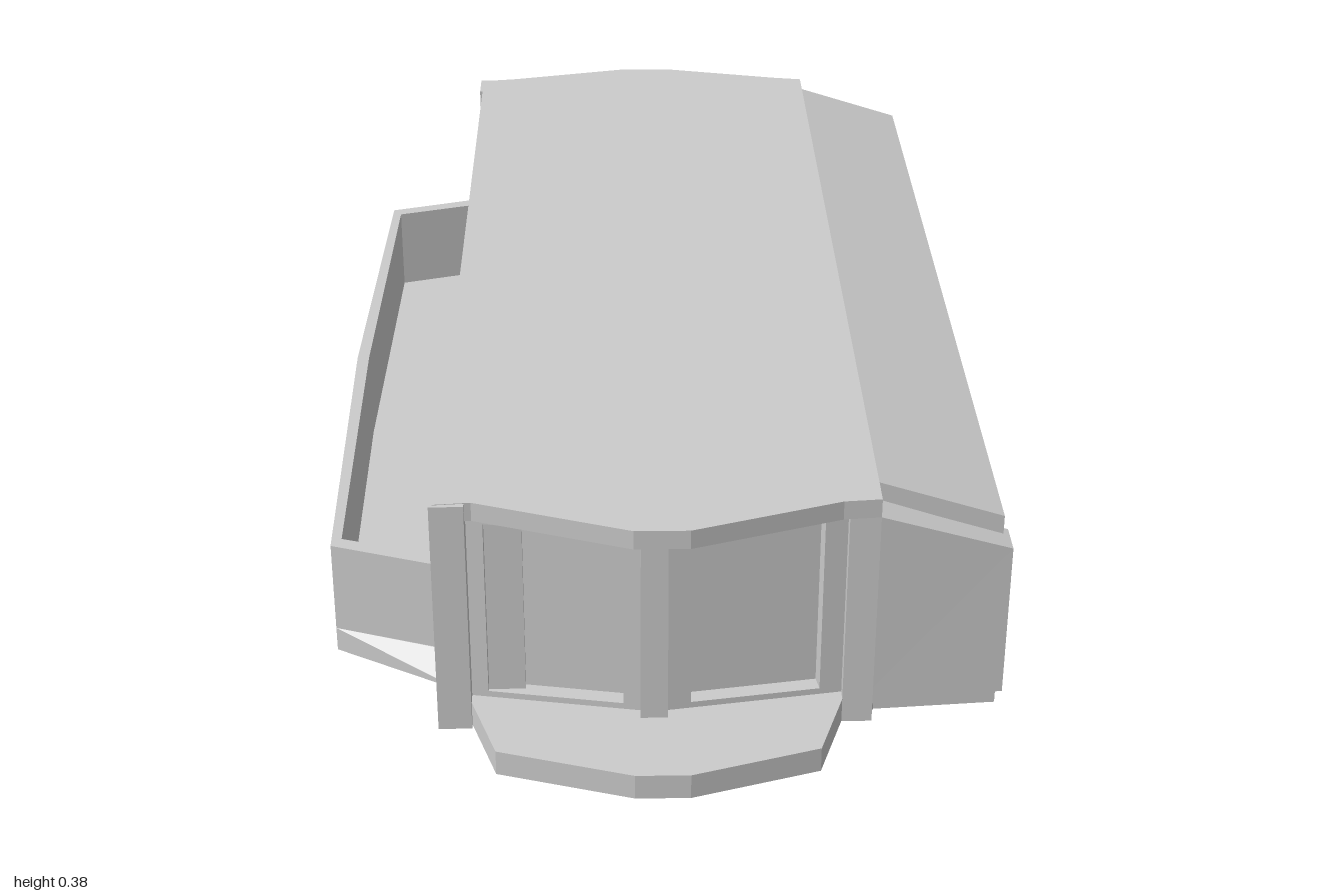
import * as THREE from 'three';

const material = new THREE.MeshStandardMaterial({ color: 0xcccccc, flatShading: true, side: THREE.DoubleSide });

function path(points) {
  return new THREE.Shape(points.map(([x, y]) => new THREE.Vector2(x, y)));
}

export function createModel() {
  const model = new THREE.Group();

  const add = (name, geometry, parent = model) => {
    const mesh = new THREE.Mesh(geometry, material);
    mesh.name = name;
    parent.add(mesh);
    return mesh;
  };

  // Horizontal slab from an [x, z] outline
  const slab = (name, outline, y0, y1, hole) => {
    const shape = path(outline.map(([x, z]) => [x, -z]));
    if (hole) shape.holes.push(path(hole.map(([x, z]) => [x, -z])));
    const g = new THREE.ExtrudeGeometry(shape, { depth: y1 - y0, bevelEnabled: false });
    g.rotateX(-Math.PI / 2).translate(0, y0, 0);
    return add(name, g);
  };

  const box = (name, x0, x1, y0, y1, z0, z1) =>
    add(name, new THREE.BoxGeometry(x1 - x0, y1 - y0, z1 - z0)
      .translate((x0 + x1) / 2, (y0 + y1) / 2, (z0 + z1) / 2));

  // Upright wall from a to b (left to right seen from outside), with recessed openings [u0, u1, y0, y1]
  const wall = (name, a, b, openings, top = 0.36, recess = 0.025) => {
    const dx = b[0] - a[0], dz = b[1] - a[1], length = Math.hypot(dx, dz);
    const rect = (u0, u1, y0, y1) => [[u0, y0], [u1, y0], [u1, y1], [u0, y1]];
    const shape = path(rect(0, length, 0.03, top));
    openings.forEach((o) => shape.holes.push(path(rect(...o))));
    const group = new THREE.Group();
    group.name = name;
    group.position.set(a[0], 0, a[1]);
    group.rotation.y = Math.atan2(-dz, dx);
    const face = new THREE.ExtrudeGeometry(shape, { depth: recess, bevelEnabled: false });
    add(name + 'Frame', face.translate(0, 0, -recess), group);
    const back = new THREE.BoxGeometry(length, top - 0.03, 0.01);
    add(name + 'Panes', back.translate(length / 2, (top + 0.03) / 2, -recess - 0.005), group);
    model.add(group);
  };

  // Floor with faceted terraces at both ends
  slab('floor', [
    [-0.33, 0.82], [-0.28, 0.82], [-0.24, 0.94], [-0.04, 1], [0.04, 1], [0.23, 0.94], [0.27, 0.82],
    [0.31, 0.82], [0.32, 0.79], [0.505, 0.775], [0.505, -0.785], [0.32, -0.8], [0.31, -0.83],
    [0.26, -0.84], [0.21, -0.97], [0.05, -1], [-0.05, -1], [-0.21, -0.97], [-0.26, -0.84], [-0.33, -0.83],
  ], 0, 0.04);

  // Main roof, bowed over both ends
  slab('roof', [
    [-0.325, 0.825], [-0.27, 0.82], [-0.04, 0.9], [0.04, 0.9], [0.26, 0.825], [0.315, 0.82],
    [0.315, -0.83], [0.26, -0.84], [0.05, -0.89], [-0.05, -0.89], [-0.26, -0.84], [-0.325, -0.83],
  ], 0.355, 0.385);

  // Sloping gallery roof
  const slope = path([[0.31, 0.385], [0.5, 0.325], [0.5, 0.295], [0.31, 0.355]]);
  add('galleryRoof', new THREE.ExtrudeGeometry(slope, { depth: 1.55, bevelEnabled: false }).translate(0, 0, -0.78));

  // Gallery end walls, thin wings that taper under the sloping roof
  for (const [side, z] of [[1, 0.75], [-1, -0.81]]) {
    const wing = path([[0.29, 0.03], [0.51, 0.04], [0.51, 0.29], [0.315, 0.355], [0.29, 0.36]]);
    const g = new THREE.ExtrudeGeometry(wing, { depth: 0.06, bevelEnabled: false }).translate(0, 0, z);
    const p = g.attributes.position;
    for (let i = 0; i < p.count; i++) {
      const outer = Math.abs(p.getZ(i)) > 0.78;
      if (outer) p.setZ(i, side * ((p.getX(i) < 0.4 ? 0.82 : 0.803) + (side < 0 ? 0.008 : 0)));
    }
    g.computeVertexNormals();
    add('galleryEndWall', g);
  }

  // Corner wing walls on the balcony side, and slim corner piers
  for (const s of [1, -1]) {
    const [z0, z1] = s > 0 ? [0.77, 0.83] : [-0.835, -0.775];
    box('cornerPost', -0.33, -0.28, 0, 0.384, z0, z1);
    const [w0, w1] = s > 0 ? [0.735, 0.8] : [-0.805, -0.735];
    box('balconyEndWall', -0.32, -0.2, 0.03, 0.36, w0, w1);
    const [p0, p1] = s > 0 ? [0.75, 0.82] : [-0.83, -0.75];
    box('galleryPier', 0.27, 0.315, 0, 0.36, p0, p1);
  }

  // Front wall: two angled bays with large windows and a central mullion
  wall('frontLeftBay', [0.0, 0.845], [0.275, 0.8], [[0.045, 0.24, 0.05, 0.34]]);
  wall('frontRightBay', [-0.285, 0.8], [-0.02, 0.845], [[0.03, 0.233, 0.05, 0.34]]);
  box('frontMullion', -0.03, 0.01, 0.03, 0.36, 0.8, 0.862);

  // Rear wall: door bay, slit window and small high window
  wall('rearDoorBay', [0.275, -0.81], [0, -0.85], [[0.03, 0.245, 0.05, 0.34]]);
  wall('rearWindowBay', [0, -0.85], [-0.285, -0.81], [[0.02, 0.065, 0.08, 0.34], [0.115, 0.265, 0.2, 0.32]]);

  // Gallery wall, u runs from z = 0.78 towards the rear
  wall('galleryWall', [0.31, 0.78], [0.31, -0.79], [
    [0.07, 0.71, 0.19, 0.285], [0.82, 1.065, 0.08, 0.3], [1.13, 1.52, 0.1, 0.265],
  ]);

  // Balcony wall, u runs from z = -0.79 towards the front
  wall('balconyWall', [-0.23, -0.79], [-0.23, 0.78], [
    [0.33, 0.41, 0.09, 0.285], [0.6, 0.8, 0.045, 0.3], [0.9, 1.51, 0.155, 0.285],
  ]);

  // Balcony floor, its ends sloping in towards the parapet
  const base = slab('balconyFloor', [
    [-0.3, 0.735], [-0.5, 0.62], [-0.515, 0], [-0.5, -0.63], [-0.3, -0.74],
  ], 0, 0.04);
  const p = base.geometry.attributes.position;
  for (let i = 0; i < p.count; i++) {
    if (p.getY(i) > 0.02 && Math.abs(p.getZ(i)) > 0.7) p.setZ(i, Math.sign(p.getZ(i)) * 0.69);
  }
  base.geometry.computeVertexNormals();

  // Bowed balcony parapet
  slab('balconyParapet', [
    [-0.31, 0.74], [-0.31, 0.685], [-0.5, 0.62], [-0.515, 0], [-0.5, -0.63], [-0.31, -0.69], [-0.31, -0.74],
    [-0.29, -0.74], [-0.29, -0.67], [-0.485, -0.61], [-0.495, 0], [-0.485, 0.6], [-0.29, 0.665], [-0.29, 0.74],
  ], 0.03, 0.19);

  return model;
}
